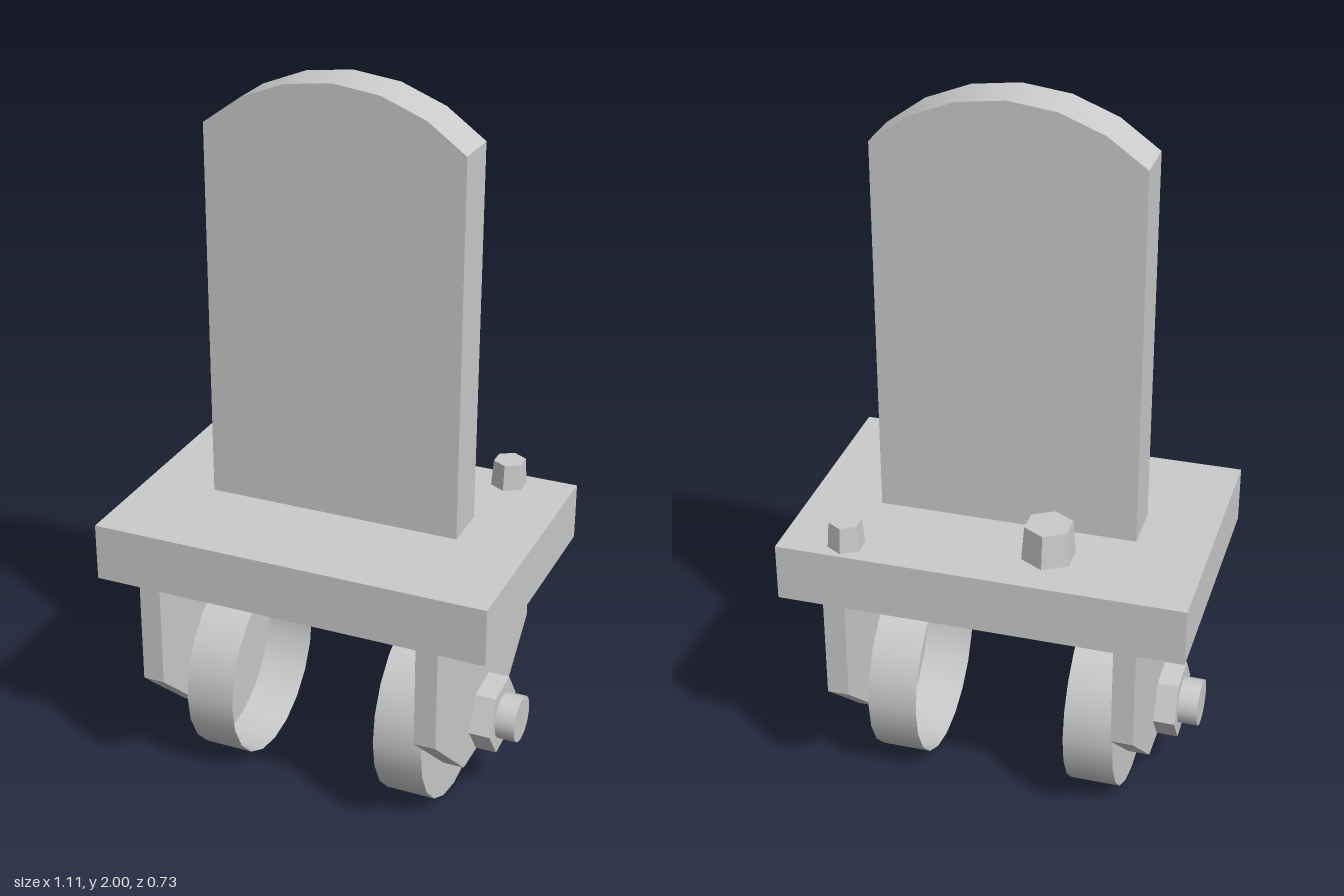
import * as THREE from 'three';
import { toCreasedNormals } from 'three/addons/utils/BufferGeometryUtils.js';

const smooth = new THREE.MeshStandardMaterial({ color: 0xcccccc });
const flat = new THREE.MeshStandardMaterial({ color: 0xcccccc, flatShading: true });
const thin = new THREE.MeshStandardMaterial({ color: 0xcccccc, side: THREE.DoubleSide });

const AXLE_Y = 0.267;
const WHEEL_R = 0.267;

function add(parent, name, geometry, material) {
  const mesh = new THREE.Mesh(geometry, material);
  mesh.name = name;
  parent.add(mesh);
  return mesh;
}

// cylinder lying along x, from x0 to x1, at axle height
function axial(radius, x0, x1, sides, open = false, turn = 0) {
  return new THREE.CylinderGeometry(radius, radius, x1 - x0, sides, 1, open)
    .rotateZ(-Math.PI / 2)
    .rotateX(turn)
    .translate((x0 + x1) / 2, AXLE_Y, 0);
}

// one caster, built on the +x side
function wheelAssembly(name) {
  const group = new THREE.Group();
  group.name = name;

  // hanging side plate with chamfered lower corners, drawn in (z, y)
  const outline = new THREE.Shape([
    [-0.367, 0.655], [-0.367, 0.37], [-0.14, 0.165],
    [0.14, 0.165], [0.367, 0.37], [0.367, 0.655],
  ].map(([z, y]) => new THREE.Vector2(z, y)));
  const plate = new THREE.ExtrudeGeometry(outline, { depth: 0.06, bevelEnabled: false })
    .rotateY(Math.PI / 2)
    .translate(0.366, 0, 0);
  add(group, 'sidePlate', plate, flat);

  // cup-shaped wheel: thin rim, closed on the outer side
  add(group, 'wheelRim', axial(WHEEL_R, 0.21, 0.349, 20, true), thin);
  const disc = new THREE.CircleGeometry(WHEEL_R, 20)
    .rotateY(Math.PI / 2)
    .translate(0.349, AXLE_Y, 0);
  add(group, 'wheelDisc', disc, thin);

  // axle through wheel, plate and nut
  add(group, 'axle', axial(0.065, 0.33, 0.54, 20), smooth);
  add(group, 'nut', axial(0.107, 0.425, 0.485, 6, false, 0.1), flat);
  return group;
}

// tapered hexagonal bolt head standing on the base plate
function bolt(parent, name, x, z, radius, height) {
  const geometry = new THREE.CylinderGeometry(radius * 0.89, radius, height, 6)
    .translate(x, 0.815 + height / 2, z);
  add(parent, name, geometry, flat);
}

export function createModel() {
  const model = new THREE.Group();
  model.name = 'casterStand';

  // base plate
  add(model, 'basePlate', new THREE.BoxGeometry(1.106, 0.16, 0.734).translate(0, 0.735, 0), flat);

  // upright slab with a shallow arched top
  const half = 0.355, rise = 0.14;
  const radius = (half * half + rise * rise) / (2 * rise);
  const angle = Math.asin(half / radius);
  const slab = new THREE.Shape();
  slab.moveTo(-half, 0.815);
  slab.lineTo(half, 0.815);
  slab.absarc(0, 2 - radius, radius, Math.PI / 2 - angle, Math.PI / 2 + angle, false);
  slab.closePath();
  const slabGeometry = new THREE.ExtrudeGeometry(slab, { depth: 0.135, bevelEnabled: false, curveSegments: 3 })
    .translate(0, 0, -0.08);
  add(model, 'uprightSlab', toCreasedNormals(slabGeometry, 0.4), smooth);

  // bolts behind the slab
  bolt(model, 'largeBolt', -0.15, -0.208, 0.074, 0.096);
  bolt(model, 'smallBolt', 0.376, -0.304, 0.05, 0.074);

  // left and right casters
  model.add(wheelAssembly('leftCaster'));
  const right = wheelAssembly('rightCaster');
  right.rotation.y = Math.PI;
  model.add(right);

  return model;
}
